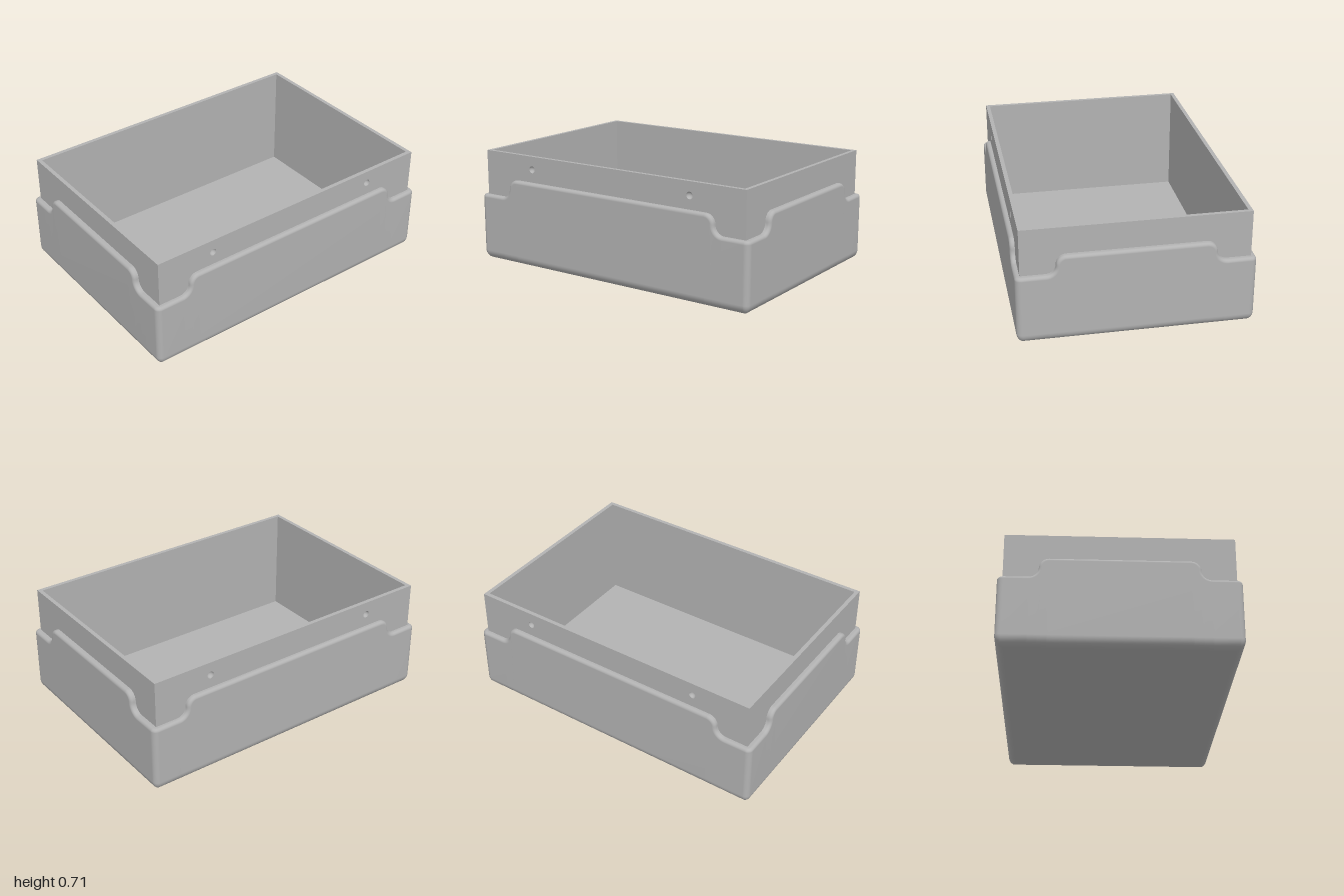
import * as THREE from 'three';

const HX = 1, HZ = 0.7;          // outer half sizes
const LIP = 0.035;               // sleeve thickness, also its corner radius
const WALL = 0.025, TOP = 0.715, FLOOR = 0.03;
const LOW = 0.43, HIGH = 0.55, ARC = (HIGH - LOW) / 2;
const ROUND = 0.02, BASE_ROUND = 0.06;

// Rim curve along one side: t along the side, y height, (nt, ny) in-plane normal
function sideRim(half) {
  const v = half - 0.235, mid = LOW + ARC, right = [];
  const n = 10;
  for (let i = 0; i <= n; i++) {
    const a = Math.PI / 2 * (1 - i / n);
    right.push({ t: v - ARC + ARC * Math.cos(a), y: mid + ARC * Math.sin(a), nt: Math.cos(a), ny: Math.sin(a) });
  }
  for (let i = 1; i <= n; i++) {
    const a = Math.PI * (1 + i / n / 2);
    right.push({ t: v + ARC + ARC * Math.cos(a), y: mid + ARC * Math.sin(a), nt: -Math.cos(a), ny: -Math.sin(a) });
  }
  const left = right.map(p => ({ ...p, t: -p.t, nt: -p.nt })).reverse();
  return [...left, ...right];
}

// Walk around the sleeve: four rims joined by rounded corners
function perimeter() {
  const list = [];
  for (let s = 0; s < 4; s++) {
    const across = s % 2 ? HZ : HX, along = s % 2 ? HX : HZ;
    const angle = s * Math.PI / 2;
    for (const p of sideRim(along)) list.push({ ...p, angle, across, along, turn: 0 });
    for (let i = 0; i <= 6; i++) {
      list.push({ corner: true, turn: i / 6 * Math.PI / 2, angle, across, along, y: LOW, nt: 0, ny: 1 });
    }
  }
  return list;
}

// Point of the sleeve at a given inset from its outer face
function place(p, y, inset, shift) {
  const keep = Math.max(LIP, inset), r = keep - inset;
  let out, t;
  if (p.corner) {
    out = p.across - keep + r * Math.cos(p.turn);
    t = p.along - keep + r * Math.sin(p.turn);
  } else {
    out = p.across - inset;
    t = p.t + shift;
  }
  const c = Math.cos(p.angle), s = Math.sin(p.angle);
  return [out * c - t * s, y, out * s + t * c];
}

function sleeveGeometry() {
  const ring = perimeter(), rows = [], n = ring.length;
  // rounded bottom edge
  for (let i = 0; i <= 8; i++) {
    const a = i / 8 * Math.PI / 2;
    rows.push(p => place(p, BASE_ROUND * (1 - Math.cos(a)), BASE_ROUND * (1 - Math.sin(a)), 0));
  }
  // rounded rim, then the flat ledge to the inner wall
  for (let i = 0; i <= 5; i++) {
    const a = i / 5 * Math.PI / 2, back = ROUND * (1 - Math.sin(a));
    rows.push(p => place(p, p.y - p.ny * back, ROUND * (1 - Math.cos(a)), -p.nt * back));
  }
  rows.push(p => place(p, p.y, LIP, 0));

  const pos = [], index = [];
  for (const row of rows) for (const p of ring) pos.push(...row(p));
  for (let j = 0; j < rows.length - 1; j++) {
    for (let i = 0; i < n; i++) {
      const k = (i + 1) % n;
      const a = j * n + i, b = j * n + k, c = a + n, d = b + n;
      index.push(a, c, b, b, c, d);
    }
  }
  const g = new THREE.BufferGeometry();
  g.setAttribute('position', new THREE.Float32BufferAttribute(pos, 3));
  g.setIndex(index);
  g.computeVertexNormals();
  return g;
}

export function createModel() {
  const model = new THREE.Group();
  model.name = 'openBox';
  const grey = new THREE.MeshStandardMaterial({ color: 0xb2b2b2 });
  grey.name = 'grey plastic';
  const add = (parent, name, geometry, x = 0, y = 0, z = 0) => {
    const m = new THREE.Mesh(geometry, grey);
    m.name = name;
    m.position.set(x, y, z);
    parent.add(m);
    return m;
  };

  // outer sleeve with scalloped rim, and the base
  add(model, 'outerSleeve', sleeveGeometry());
  const base = new THREE.PlaneGeometry(2 * (HX - BASE_ROUND), 2 * (HZ - BASE_ROUND)).rotateX(Math.PI / 2);
  add(model, 'base', base);
  add(model, 'floor', new THREE.BoxGeometry(1.9, FLOOR - 0.005, 1.3), 0, (FLOOR + 0.005) / 2, 0);

  // inner side walls
  const wx = HX - LIP, wz = HZ - LIP + 0.005, h = TOP - FLOOR;
  for (const s of [-1, 1]) {
    add(model, s > 0 ? 'leftWall' : 'rightWall', new THREE.BoxGeometry(WALL, h, 2 * (wz - WALL)),
      s * (wx - WALL / 2), FLOOR + h / 2, 0);
  }

  // front and back walls with two round dimples each
  const R = 0.022, DX = 0.59, DY = 0.632;
  for (const name of ['front', 'back']) {
    const wall = new THREE.Group();
    wall.name = name + 'Wall';
    if (name === 'back') wall.rotation.y = Math.PI;
    const shape = new THREE.Shape();
    shape.moveTo(-wx, FLOOR).lineTo(wx, FLOOR).lineTo(wx, TOP).lineTo(-wx, TOP).closePath();
    for (const s of [-1, 1]) {
      shape.holes.push(new THREE.Path().absarc(s * DX, DY, R, 0, Math.PI * 2, true));
    }
    const panel = new THREE.ExtrudeGeometry(shape, { depth: WALL, bevelEnabled: false, curveSegments: 12 });
    add(wall, name + 'Panel', panel, 0, 0, wz - WALL);
    const bowl = [];
    for (let i = 0; i <= 6; i++) {
      const a = i / 6 * Math.PI / 2;
      bowl.push(new THREE.Vector2(R * Math.cos(a), -R * Math.sin(a)));
    }
    for (const s of [-1, 1]) {
      add(wall, 'dimple', new THREE.LatheGeometry(bowl, 24).rotateX(Math.PI / 2), s * DX, DY, wz);
      add(wall, 'dimpleBacking', new THREE.CircleGeometry(R, 24).rotateY(Math.PI), s * DX, DY, wz - WALL);
    }
    model.add(wall);
  }
  return model;
}
